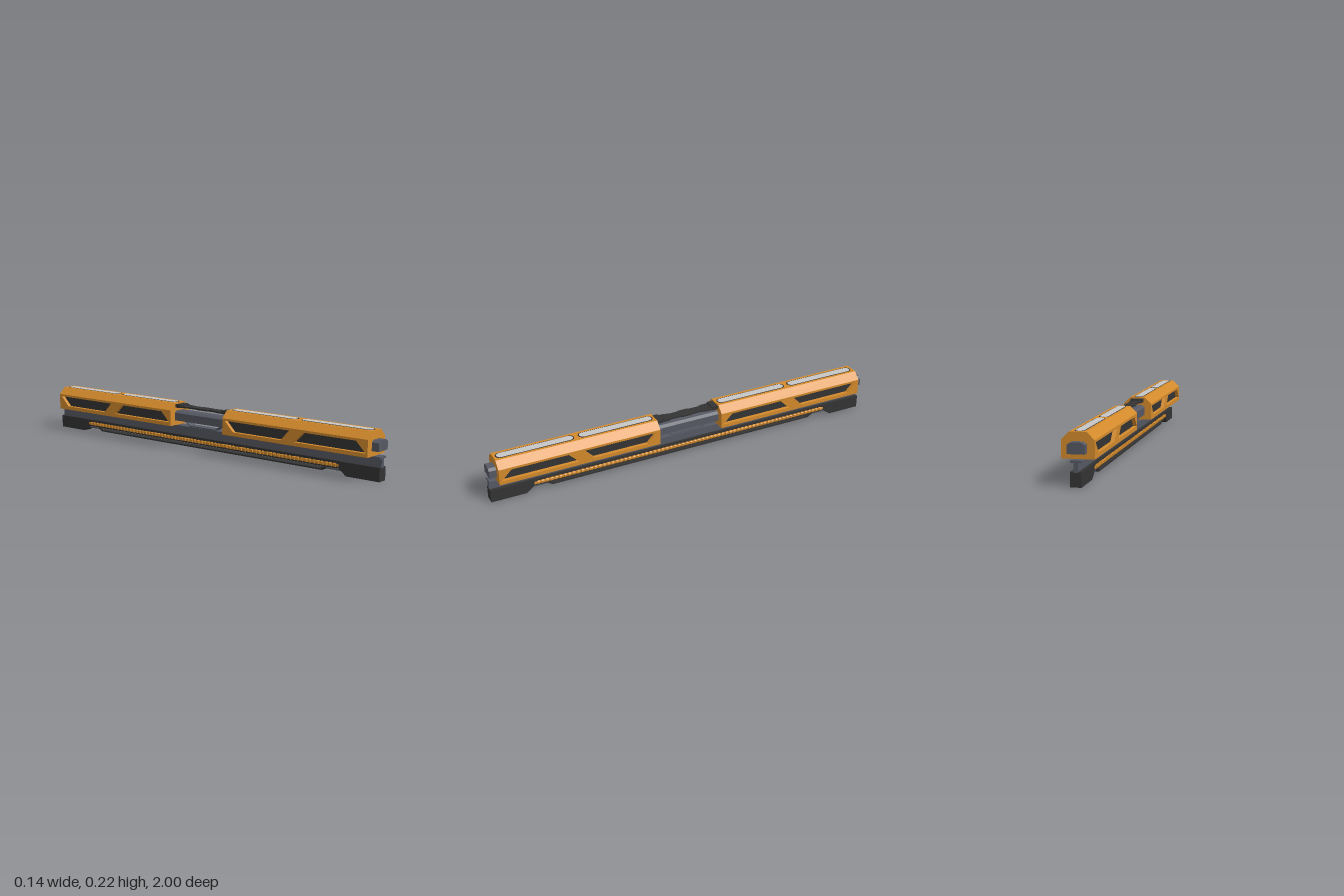
import * as THREE from 'three';

const mat = (name, color, side = THREE.FrontSide) => {
  const m = new THREE.MeshStandardMaterial({ color, side });
  m.name = name;
  return m;
};

export function createModel() {
  const orange = mat('orange paint', 0xd48b2c);
  const steel = mat('blue grey steel', 0x565964);
  const dark = mat('dark plastic', 0x343434);
  const light = mat('pale lens', 0xc6c6c6);

  const root = new THREE.Group();
  root.name = 'railAssembly';

  const add = (parent, name, geo, material) => {
    const m = new THREE.Mesh(geo, material);
    m.name = name;
    parent.add(m);
    return m;
  };
  const shapeOf = (pts) => new THREE.Shape(pts.map(([a, b]) => new THREE.Vector2(a, b)));
  const extrude = (shape, depth) =>
    new THREE.ExtrudeGeometry(shape, { depth, bevelEnabled: false, curveSegments: 8 });
  // Profile in (x, y), running from z0 to z1
  const alongZ = (pts, z0, z1) => extrude(shapeOf(pts), z1 - z0).translate(0, 0, z0);
  // Profile in (z, y), running from x0 to x1
  const alongX = (shape, x0, x1) => extrude(shape, x1 - x0).rotateY(-Math.PI / 2).translate(x1, 0, 0);
  // Profile in (x, -z), running from y0 to y1
  const alongY = (shape, y0, y1) => extrude(shape, y1 - y0).rotateX(-Math.PI / 2).translate(0, y0, 0);
  const box = (x0, x1, y0, y1, z0, z1) =>
    new THREE.BoxGeometry(x1 - x0, y1 - y0, z1 - z0)
      .translate((x0 + x1) / 2, (y0 + y1) / 2, (z0 + z1) / 2);
  const capsule = (r, z0, z1) => {
    const s = new THREE.Shape();
    s.absarc(0, -z0 - r, r, 0, Math.PI, false);
    s.absarc(0, -z1 + r, r, Math.PI, Math.PI * 2, false);
    return s;
  };

  // Upper rail with chamfered top edges
  add(root, 'upperRail', alongZ([[-0.037, 0.135], [0.037, 0.135], [0.037, 0.173], [0.023, 0.183],
    [-0.023, 0.183], [-0.037, 0.173]], -1, 1), steel);

  // Lower T beam
  add(root, 'lowerBeam', alongZ([[-0.009, 0.06], [0.009, 0.06], [0.009, 0.1], [0.024, 0.1],
    [0.024, 0.11], [-0.024, 0.11], [-0.024, 0.1], [-0.009, 0.1]], -1, 1), steel);

  // Two hollow housings, the same way round
  const outline = [[-0.07, 0.11], [0.07, 0.11], [0.07, 0.189], [0.036, 0.222], [-0.036, 0.222], [-0.07, 0.189]];
  const windows = [
    [[0.79, 0.128], [0.74, 0.178], [0.465, 0.178], [0.415, 0.128]],
    [[0.388, 0.178], [0.34, 0.128], [0.065, 0.128], [0.015, 0.178]],
  ];
  const housing = (name, z) => {
    const g = new THREE.Group();
    g.name = name;
    g.position.z = z;
    root.add(g);
    add(g, 'roof', alongZ([[-0.07, 0.185], [0.07, 0.185], ...outline.slice(2)], 0.008, 0.792), orange);
    add(g, 'floor', box(-0.05, 0.05, 0.11, 0.12, 0.008, 0.792), orange);
    for (const z0 of [0, 0.792]) add(g, 'endCap', alongZ(outline, z0, z0 + 0.008), orange);
    add(g, 'innerCore', box(-0.052, 0.052, 0.12, 0.185, 0.008, 0.792), dark);
    for (const x0 of [-0.07, 0.05]) {
      const side = shapeOf([[0.008, 0.11], [0.792, 0.11], [0.792, 0.185], [0.008, 0.185]]);
      windows.forEach((w) => side.holes.push(new THREE.Path(w.map(([a, b]) => new THREE.Vector2(a, b)))));
      add(g, 'sideWall', alongX(side, x0, x0 + 0.02), orange);
    }
    // Long rounded lenses on the roof
    for (const [a, b] of [[0.01, 0.39], [0.41, 0.79]]) {
      add(g, 'lensRim', alongY(capsule(0.0225, a, b), 0.2205, 0.2225), dark);
      add(g, 'lens', alongY(capsule(0.0185, a + 0.006, b - 0.006), 0.2215, 0.2235), light);
    }
  };
  housing('frontHousing', 0.165);
  housing('rearHousing', -0.965);

  // Waisted bridge plate between the housings
  const edge = [[0.03, 0.17], [0.03, 0.1], [0.022, 0.08], [0.022, 0.035], [0.027, 0.02]];
  const right = [...edge, ...edge.map(([x, z]) => [x, -z]).reverse()];
  add(root, 'bridgePlate', alongY(shapeOf([...right, ...right.map(([x, z]) => [-x, z]).reverse()].reverse()),
    0.2, 0.208), dark);
  for (const s of [-1, 1]) {
    add(root, 'bridgeClamp', box(-0.03, 0.03, 0.198, 0.215, s * 0.15 - 0.016, s * 0.15 + 0.016), dark);
    for (const x of [-0.016, 0.016]) {
      add(root, 'bridgeBolt', new THREE.CylinderGeometry(0.006, 0.006, 0.006, 8)
        .translate(x, 0.21, s * 0.12), dark);
    }
  }

  // Bent strap under the middle of the upper rail
  add(root, 'underStrap', alongX(shapeOf([[0.122, 0.138], [0.116, 0.138], [0.078, 0.115], [-0.078, 0.115],
    [-0.116, 0.138], [-0.122, 0.138], [-0.08, 0.11], [0.08, 0.11]]), -0.02, 0.02), steel);

  // Dark foot blocks at both ends, sloped inwards
  for (const s of [-1, 1]) {
    const pts = [[1, 0], [1, 0.063], [0.77, 0.063], [0.77, 0.045], [0.83, 0]].map(([z, y]) => [s * z, y]);
    add(root, 'footBlock', alongX(shapeOf(pts), -0.024, 0.024), dark);
  }
  add(root, 'lowerSpine', box(-0.021, 0.021, 0.028, 0.063, -0.78, 0.78), dark);

  // Orange ribbed strips along both sides of the spine
  for (const s of [-1, 1]) {
    add(root, 'ribStrip', box(s * 0.0225 - 0.0025, s * 0.0225 + 0.0025, 0.037, 0.05, -0.79, 0.79), orange);
    const rib = alongZ([[-0.004, 0.035], [0.002, 0.035], [0.005, 0.039], [0.005, 0.048],
      [0.002, 0.052], [-0.004, 0.052]], -0.006, 0.006);
    for (let i = 0; i < 71; i++) {
      const m = add(root, 'rib', rib, orange);
      m.position.set(s * 0.0245, 0, (i - 35) * 0.022);
      if (s < 0) m.rotation.y = Math.PI;
    }
  }

  // Shallow guard bar hung below the spine
  add(root, 'guardBar', alongX(shapeOf([[0.7, 0.009], [0.725, 0.024], [0.71, 0.028], [0.69, 0.016],
    [-0.69, 0.016], [-0.71, 0.028], [-0.725, 0.024], [-0.7, 0.009]]), -0.02, 0.02), dark);
  for (const s of [-1, 1]) {
    add(root, 'guardLink', box(-0.012, 0.012, 0.017, 0.024, s * 0.76 - 0.055, s * 0.76 + 0.055), steel);
  }

  return root;
}
